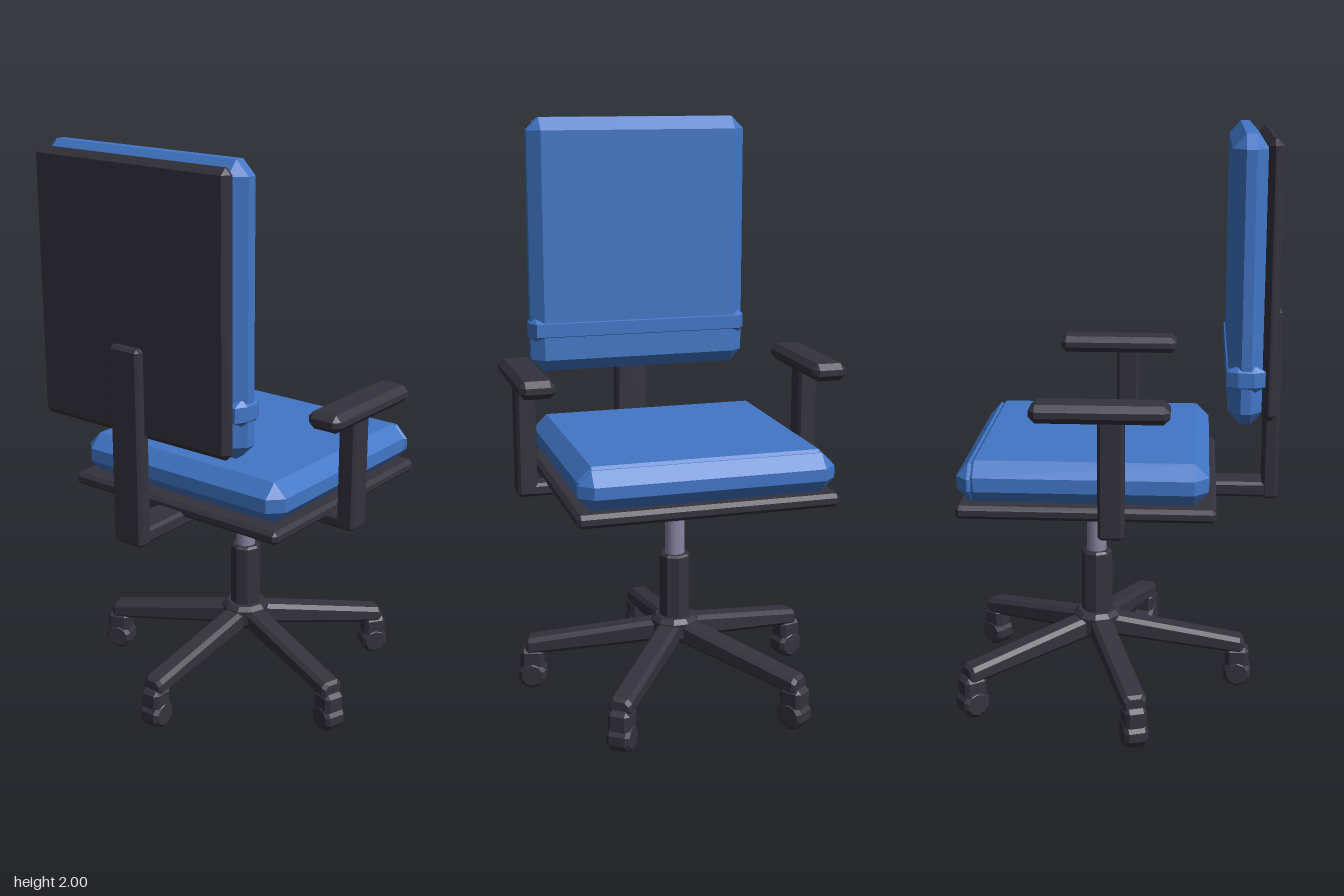
import * as THREE from 'three';
import { ConvexGeometry } from 'three/addons/geometries/ConvexGeometry.js';

const mat = (name, color) => {
  const m = new THREE.MeshStandardMaterial({ color });
  m.name = name;
  return m;
};

export function createModel() {
  const chair = new THREE.Group();
  chair.name = 'officeChair';
  const fabric = mat('blueFabric', 0x4176c6);
  const plastic = mat('darkPlastic', 0x34323d);
  const steel = mat('greySteel', 0x8a85a2);

  const add = (parent, name, geo, material) => {
    const mesh = new THREE.Mesh(geo, material);
    mesh.name = name;
    parent.add(mesh);
    return mesh;
  };

  // Box with all edges chamfered, given as min/max ranges per axis
  const chamferBox = ([x0, x1], [y0, y1], [z0, z1], c, cx = c) => {
    const pts = [];
    for (const [x, dx] of [[x0, 1], [x1, -1]])
      for (const [y, dy] of [[y0, 1], [y1, -1]])
        for (const [z, dz] of [[z0, 1], [z1, -1]])
          pts.push(
            new THREE.Vector3(x, y + dy * c, z + dz * c),
            new THREE.Vector3(x + dx * cx, y, z + dz * c),
            new THREE.Vector3(x + dx * cx, y + dy * c, z));
    return new ConvexGeometry(pts);
  };

  // Convex bar along x through [x, centre y, half height, half width] sections
  const bar = (sections, c) => {
    const pts = [];
    for (const [x, y, h, w] of sections)
      for (const sy of [-1, 1])
        for (const sz of [-1, 1])
          pts.push(
            new THREE.Vector3(x, y + sy * h, sz * (w - c)),
            new THREE.Vector3(x, y + sy * (h - c), sz * w));
    return new ConvexGeometry(pts);
  };

  // Faceted solid of revolution, profile from bottom to top
  const turned = (profile, sides) => {
    const geo = new THREE.LatheGeometry(profile.map(p => new THREE.Vector2(...p)), sides).toNonIndexed();
    geo.computeVertexNormals();
    return geo;
  };

  // Seat
  add(chair, 'seatPlate', chamferBox([-0.345, 0.505], [0.77, 0.815], [-0.44, 0.44], 0.013), plastic);
  add(chair, 'seatCushion', chamferBox([-0.32, 0.492], [0.815, 0.956], [-0.428, 0.428], 0.047), fabric);
  add(chair, 'seatFrontRoll', chamferBox([0.42, 0.505], [0.818, 0.948], [-0.43, 0.43], 0.045, 0.04), fabric);
  add(chair, 'tiltMechanism', chamferBox([-0.17, 0.255], [0.69, 0.775], [-0.195, 0.195], 0.013), plastic);

  // Backrest
  add(chair, 'backCushion', chamferBox([-0.486, -0.374], [1.085, 2], [-0.405, 0.405], 0.045, 0.04), fabric);
  add(chair, 'lumbarBand', chamferBox([-0.491, -0.369], [1.197, 1.285], [-0.41, 0.41], 0.02, 0.036), fabric);
  add(chair, 'backPlate', chamferBox([-0.53, -0.482], [1.1, 1.985], [-0.39, 0.39], 0.02), plastic);
  add(chair, 'backPost', chamferBox([-0.56, -0.505], [0.732, 1.4], [-0.06, 0.06], 0.01), plastic);
  add(chair, 'backBar', chamferBox([-0.558, -0.19], [0.737, 0.79], [-0.058, 0.058], 0.01), plastic);

  // Armrests, mirrored across z
  for (const s of [1, -1]) {
    const arm = new THREE.Group();
    arm.name = s > 0 ? 'armrestPositiveZ' : 'armrestNegativeZ';
    const z = (a, b) => (s > 0 ? [a, b] : [-b, -a]);
    add(arm, 'armBracket', chamferBox([-0.05, 0.03], [0.743, 0.788], z(0.375, 0.538), 0.01), plastic);
    add(arm, 'armPost', chamferBox([-0.052, 0.032], [0.745, 1.14], z(0.473, 0.541), 0.01), plastic);
    add(arm, 'armPad', chamferBox([-0.195, 0.245], [1.13, 1.19], z(0.443, 0.565), 0.02), plastic);
    chair.add(arm);
  }

  // Five-star base
  const base = new THREE.Group();
  base.name = 'base';
  base.position.x = 0.075;
  chair.add(base);
  add(base, 'gasPiston', new THREE.CylinderGeometry(0.035, 0.035, 0.22, 12), steel).position.y = 0.6;
  add(base, 'column', turned([[0, 0.2], [0.055, 0.2], [0.055, 0.505], [0.048, 0.513], [0, 0.513]], 8), plastic);
  add(base, 'hub', turned([[0, 0.19], [0.06, 0.19], [0.085, 0.215], [0.085, 0.268], [0.07, 0.284], [0, 0.284]], 10), plastic);

  const legGeo = bar([[0.02, 0.235, 0.04, 0.04], [0.52, 0.158, 0.03, 0.04], [0.532, 0.156, 0.022, 0.032]], 0.014);
  const housingGeo = chamferBox([0.468, 0.552], [0.07, 0.148], [-0.038, 0.038], 0.014);
  const wheelGeo = turned([[0, -0.041], [0.038, -0.041], [0.051, -0.028], [0.051, 0.028], [0.038, 0.041], [0, 0.041]], 10);
  wheelGeo.rotateX(Math.PI / 2);
  for (let i = 0; i < 5; i++) {
    const leg = new THREE.Group();
    leg.name = 'baseLeg' + (i + 1);
    leg.rotation.y = Math.PI + i * Math.PI * 0.4;
    add(leg, 'legBar', legGeo, plastic);
    add(leg, 'casterHousing', housingGeo, plastic);
    add(leg, 'casterWheel', wheelGeo, plastic).position.set(0.51, 0.051, 0);
    base.add(leg);
  }
  return chair;
}
